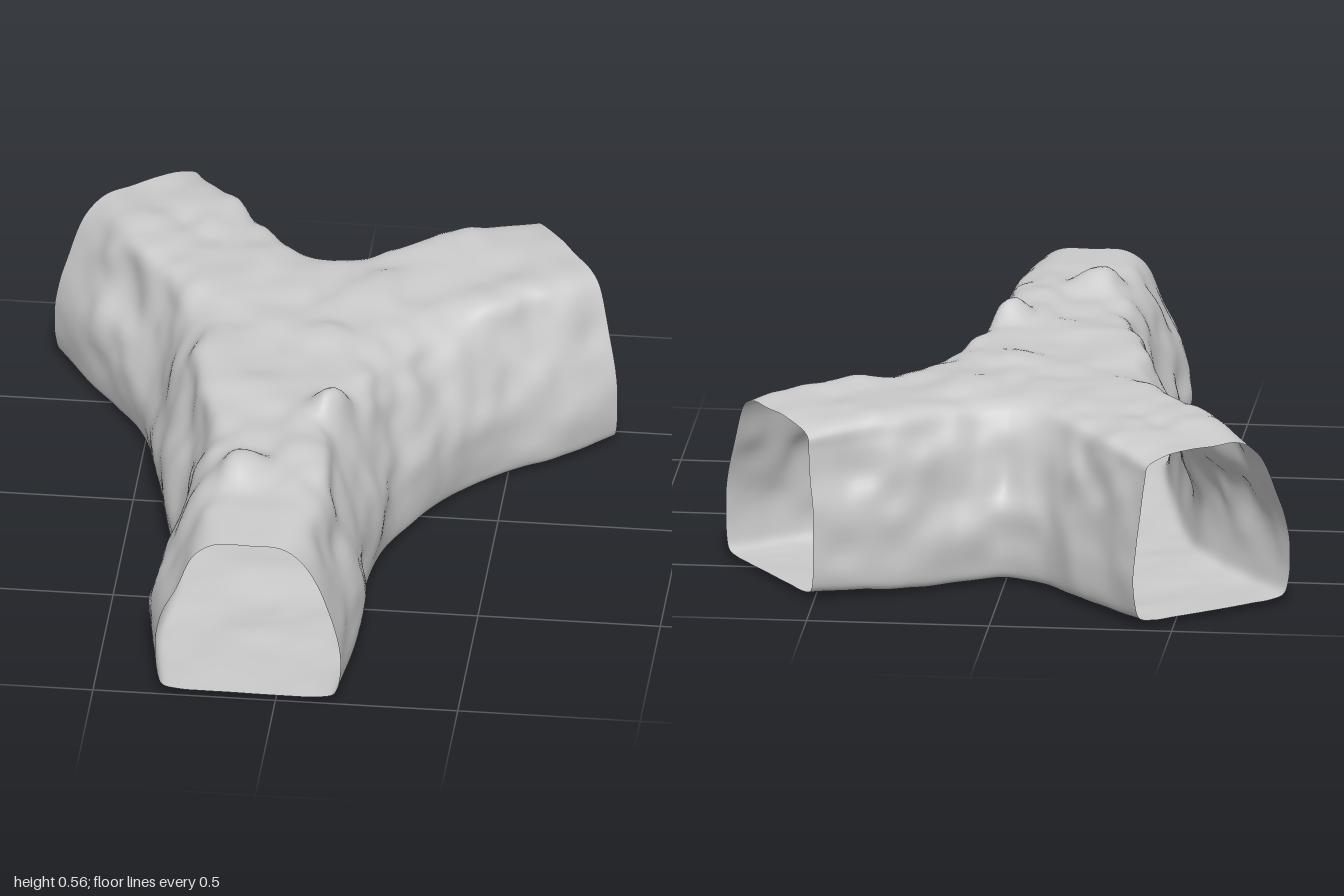
import * as THREE from 'three';
import { mergeVertices } from 'three/addons/utils/BufferGeometryUtils.js';

const ALONG = 120, AROUND = 56;

// Centre line of the fork: three straight arms that meet at the hub [x, z]
const hub = [-0.03, -0.16];
const front = [-0.075, 1], leftArm = [0.64, -0.625], rightArm = [-0.595, -0.85];

// Three walls in plan, each running from one mouth to the next; the middle point faces the hub.
// lean = how far the wall slopes inwards at its start, middle and end.
const walls = [
  { from: front, to: rightArm, lean: [1, 0.9, 1], plan: [[-0.325, 1], [-0.36, 0.74], [-0.34, 0.47], [-0.395, 0.16],
    [-0.46, -0.12], [-0.51, -0.28], [-0.595, -0.42], [-0.69, -0.55], [-0.79, -0.7]] },
  { from: rightArm, to: leftArm, lean: [0.3, 0.85, 0.25], plan: [[-0.4, -1], [-0.32, -0.9], [-0.21, -0.78],
    [-0.11, -0.66], [0, -0.615], [0.11, -0.655], [0.24, -0.73], [0.38, -0.78], [0.5, -0.83]] },
  { from: leftArm, to: front, lean: [0.9, 0.9, 1], plan: [[0.78, -0.42], [0.64, -0.3], [0.51, -0.215], [0.405, -0.115],
    [0.325, 0.01], [0.23, 0.2], [0.19, 0.45], [0.2, 0.7], [0.175, 1]] },
];

// Smooth value noise, -1..1
function hash(x, y, z) {
  const s = Math.sin(x * 127.1 + y * 311.7 + z * 74.7) * 43758.5453;
  return (s - Math.floor(s)) * 2 - 1;
}
function noise(x, y, z) {
  const c = [x, y, z].map(Math.floor);
  const f = [x - c[0], y - c[1], z - c[2]].map(v => v * v * (3 - 2 * v));
  let sum = 0;
  for (let k = 0; k < 8; k++) {
    const b = [k & 1, (k >> 1) & 1, k >> 2];
    const w = b.reduce((p, v, a) => p * (v ? f[a] : 1 - f[a]), 1);
    sum += w * hash(c[0] + b[0], c[1] + b[1], c[2] + b[2]);
  }
  return sum;
}
const rock = (x, y, z) => noise(x * 7, y * 8, z * 6) + 0.5 * noise(x * 14 + 9, y * 14, z * 12);

// Blunt rock knobs along the roof [x, z, height, radius]
const knobs = [[-0.14, 0.62, 0.045, 0.075], [0.08, 0.28, 0.06, 0.06], [0.02, -0.1, 0.02, 0.07]];

const mix = (a, b, t) => [a[0] + (b[0] - a[0]) * t, a[1] + (b[1] - a[1]) * t];

// Half section from floor centre, up the wall, to roof centre: x = inset from wall, y = height
function halfSection(width, lean, roof) {
  const pts = [[width, 0.024], [width * 0.5, 0.024], [0.06, 0.025], [0.015, 0.036], [0, 0.08], [0, 0.2],
    [0.042 * lean, 0.33], [0.086 * lean, 0.43], [0.125 * lean, roof - 0.02],
    [Math.max(0.17, width * 0.55), roof], [width, roof]];
  return new THREE.CatmullRomCurve3(pts.map(p => new THREE.Vector3(p[0], p[1], 0)));
}

function addWall({ from, to, lean, plan }, positions, indices) {
  const start = positions.length / 3;
  const curve = new THREE.CatmullRomCurve3(plan.map(p => new THREE.Vector3(p[0], 0, p[1])));
  for (let i = 0; i <= ALONG; i++) {
    const t = i / ALONG;
    const spine = t <= 0.5 ? mix(from, hub, t * 2) : mix(hub, to, t * 2 - 1);
    const w = curve.getPoint(t);
    const dx = w.x - spine[0], dz = w.z - spine[1], width = Math.hypot(dx, dz);
    const inner = 1 - Math.abs(t * 2 - 1);
    const slope = THREE.MathUtils.lerp(t < 0.5 ? lean[0] : lean[2], lean[1], inner);
    // Lower roof, level floor and calmer rock at the mouths
    const section = halfSection(width, slope, 0.49 + 0.015 * Math.min(1, inner * 3));
    const calm = 0.35 + 0.65 * Math.min(1, inner * 4);
    const sag = 0.01 * Math.min(1, inner * 3);
    for (let j = 0; j <= AROUND; j++) {
      const p = section.getPoint(j / AROUND);
      const out = 1 - p.x / width;
      let x = spine[0] + dx * out, z = spine[1] + dz * out, y = p.y;
      const n = rock(x, y, z) * calm;
      const high = THREE.MathUtils.smoothstep(y, 0.03, 0.2);
      const push = n * 0.018 * high * THREE.MathUtils.smoothstep(out, 0, 0.5);
      y += n * (y < 0.1 ? 0.007 : 0.013 * high) - sag * (1 - high);
      if (p.y > 0.3) {
        for (const [kx, kz, h, r] of knobs) y += h * Math.exp(-((((x - kx) ** 2 + (z - kz) ** 2) / (r * r)) ** 1.5));
      }
      x += dx / width * push;
      z += dz / width * push;
      positions.push(x, Math.max(0, y), z);
    }
  }
  const row = AROUND + 1;
  for (let i = 0; i < ALONG; i++) for (let j = 0; j < AROUND; j++) {
    const a = start + i * row + j, c = a + row;
    indices.push(a, a + 1, c, a + 1, c + 1, c);
  }
}

export function createModel() {
  const group = new THREE.Group();
  group.name = 'forkedCaveTunnel';

  // Hollow shell, open at its three mouths, welded along the centre line
  const positions = [], indices = [];
  walls.forEach(wall => addWall(wall, positions, indices));
  let geometry = new THREE.BufferGeometry();
  geometry.setAttribute('position', new THREE.Float32BufferAttribute(positions, 3));
  geometry.setIndex(indices);
  geometry = mergeVertices(geometry, 1e-4);
  geometry.computeVertexNormals();

  const material = new THREE.MeshStandardMaterial({ color: 0xcccccc, side: THREE.DoubleSide });
  const shell = new THREE.Mesh(geometry, material);
  shell.name = 'tunnelShell';
  group.add(shell);
  return group;
}
